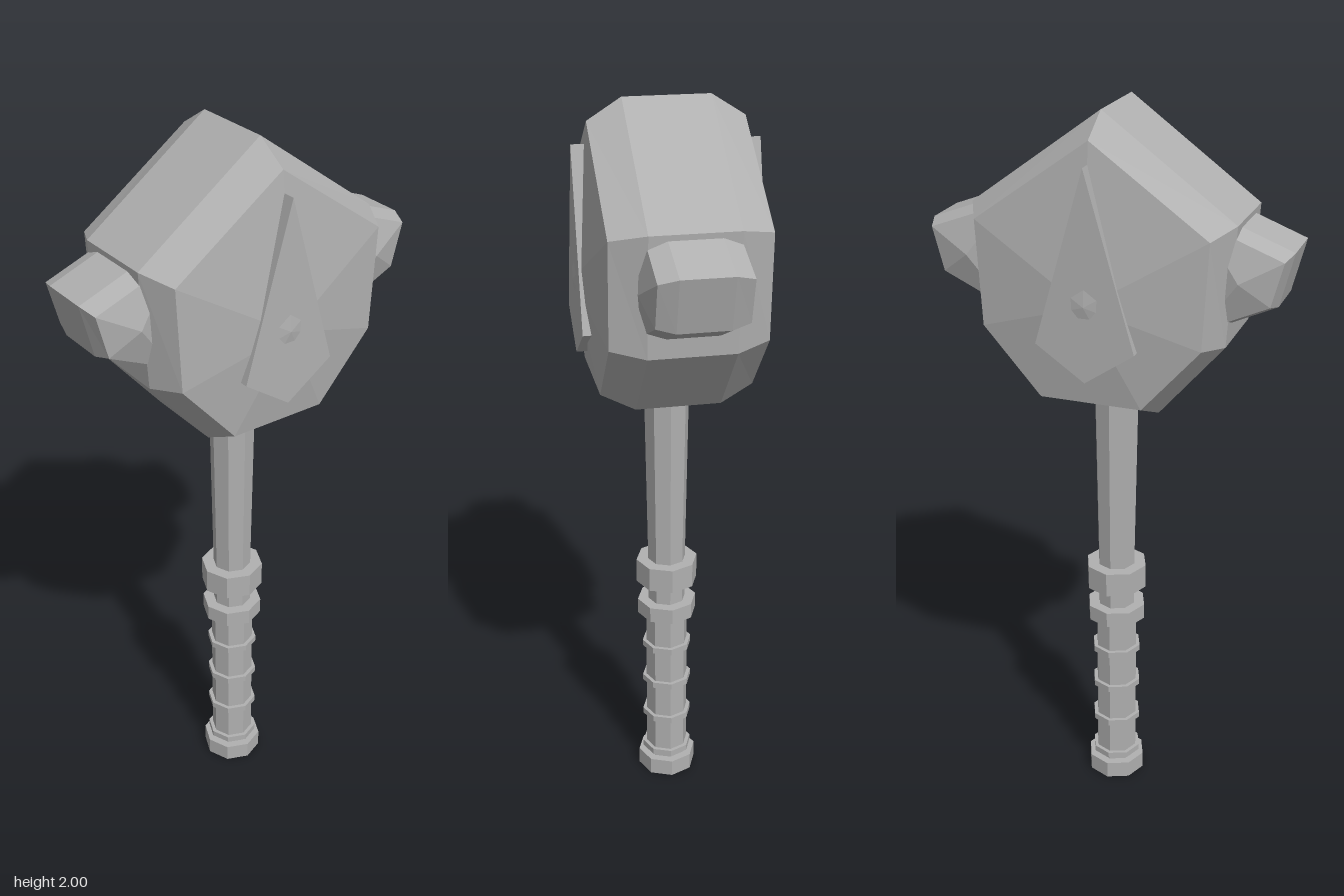
import * as THREE from 'three';

// Faceted block: outer outline at +-z1, inset outline at +-z2, pyramid tips at +-z3.
// Outlines run counter-clockwise as seen from the front.
function facetedBlock(outer, inner, z1, z2, z3, tip) {
  const pos = [];
  const n = outer.length;
  const rings = [[inner, -z2], [outer, -z1], [outer, z1], [inner, z2]]
    .map(([pts, z]) => pts.map(([x, y]) => [x, y, z]));
  const tri = (a, b, c) => pos.push(...a, ...b, ...c);
  for (let i = 0; i < n; i++) {
    const j = (i + 1) % n;
    for (let r = 0; r < 3; r++) {
      const a = rings[r], b = rings[r + 1];
      tri(a[i], a[j], b[j]);
      tri(a[i], b[j], b[i]);
    }
    tri(rings[3][i], rings[3][j], [tip[0], tip[1], z3]);
    tri(rings[0][j], rings[0][i], [tip[0], tip[1], -z3]);
  }
  const g = new THREE.BufferGeometry();
  g.setAttribute('position', new THREE.Float32BufferAttribute(pos, 3));
  g.computeVertexNormals();
  return g;
}

const mirrorOutline = (pts) => pts.map(([x, y]) => [-x, y]).reverse();

export function createModel() {
  const model = new THREE.Group();
  model.name = 'warHammer';
  const stone = new THREE.MeshStandardMaterial({ color: 0xb0b0b0, flatShading: true });
  stone.name = 'grey';

  const add = (name, geometry) => {
    const mesh = new THREE.Mesh(geometry, stone);
    mesh.name = name;
    model.add(mesh);
    return mesh;
  };
  // Eight-sided handle section between two heights
  const section = (name, y0, y1, r0, r1 = r0) => {
    add(name, new THREE.CylinderGeometry(r1, r0, y1 - y0, 8)).position.y = (y0 + y1) / 2;
  };

  // Handle
  section('pommel', 0, 0.05, 0.084);
  section('grip', 0.05, 0.56, 0.06);
  section('lowerCollar', 0.535, 0.58, 0.084);
  section('neck', 0.58, 0.65, 0.053);
  section('upperCollar', 0.64, 0.71, 0.087);
  section('shaft', 0.7, 1.3, 0.053, 0.063);
  [0.07, 0.19, 0.31, 0.43].forEach((y) => section('gripRing', y - 0.009, y + 0.009, 0.071));

  // Head: bevelled heptagon-like block with a shallow pyramid on each face
  const outer = [[0, 2], [-0.345, 1.75], [-0.325, 1.44], [-0.155, 1.24],
    [0.155, 1.24], [0.325, 1.44], [0.345, 1.75]];
  const inner = [[0, 1.945], [-0.302, 1.73], [-0.288, 1.455], [-0.135, 1.28],
    [0.135, 1.28], [0.288, 1.455], [0.302, 1.73]];
  add('head', facetedBlock(outer, inner, 0.112, 0.2, 0.245, [0, 1.55]));

  // Side knobs, flaring towards the head
  const knobOuter = [[0.478, 1.685], [0.24, 1.775], [0.24, 1.45], [0.443, 1.545]];
  const knobInner = [[0.463, 1.672], [0.255, 1.75], [0.255, 1.475], [0.433, 1.557]];
  add('leftKnob', facetedBlock(knobOuter, knobInner, 0.066, 0.114, 0.14, [0.357, 1.615]));
  add('rightKnob', facetedBlock(mirrorOutline(knobOuter), mirrorOutline(knobInner),
    0.066, 0.114, 0.14, [-0.357, 1.615]));

  // Kite-shaped plates on front and back
  const kite = new THREE.Shape([[0, 1.89], [-0.13, 1.44], [0, 1.35], [0.13, 1.44]]
    .map(([x, y]) => new THREE.Vector2(x, y)));
  const plate = new THREE.ExtrudeGeometry(kite, { depth: 0.06, bevelEnabled: false });
  plate.translate(0, 0, 0.18);
  add('frontPlate', plate);
  add('backPlate', plate).rotation.y = Math.PI;

  return model;
}
